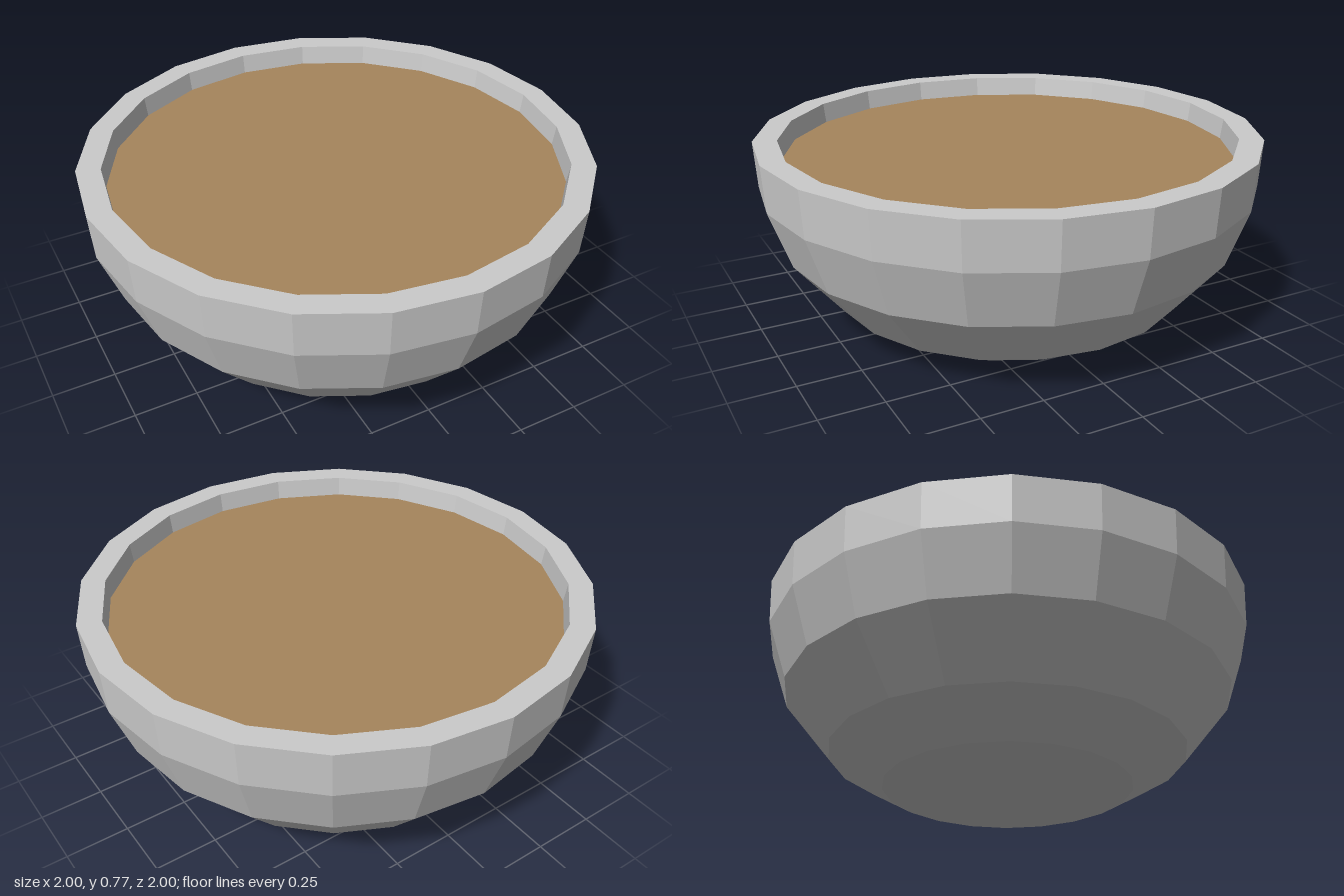
import * as THREE from 'three';

const SIDES = 20;

export function createModel() {
  const model = new THREE.Group();
  model.name = 'filledBowl';

  // Bowl: outer wall from the base up, over the rim, then down the inside
  const profile = [
    [0, 0], [0.5, 0], [0.72, 0.125], [0.91, 0.355], [0.99, 0.585], [1, 0.77],
    [0.905, 0.77], [0.895, 0.69], [0.885, 0.585], [0.82, 0.38], [0.65, 0.18], [0.46, 0.08], [0, 0.08],
  ].map(([r, y]) => new THREE.Vector2(r, y));
  const bowl = new THREE.Mesh(
    new THREE.LatheGeometry(profile, SIDES),
    new THREE.MeshStandardMaterial({ color: 0xcccccc, flatShading: true })
  );
  bowl.name = 'bowl';
  model.add(bowl);

  // Flat surface of the contents, just below the rim
  const contents = new THREE.Mesh(
    new THREE.CircleGeometry(0.895, SIDES).rotateX(-Math.PI / 2),
    new THREE.MeshStandardMaterial({ color: 0xa6855c, flatShading: true })
  );
  contents.position.y = 0.69;
  contents.name = 'contents';
  model.add(contents);

  return model;
}
